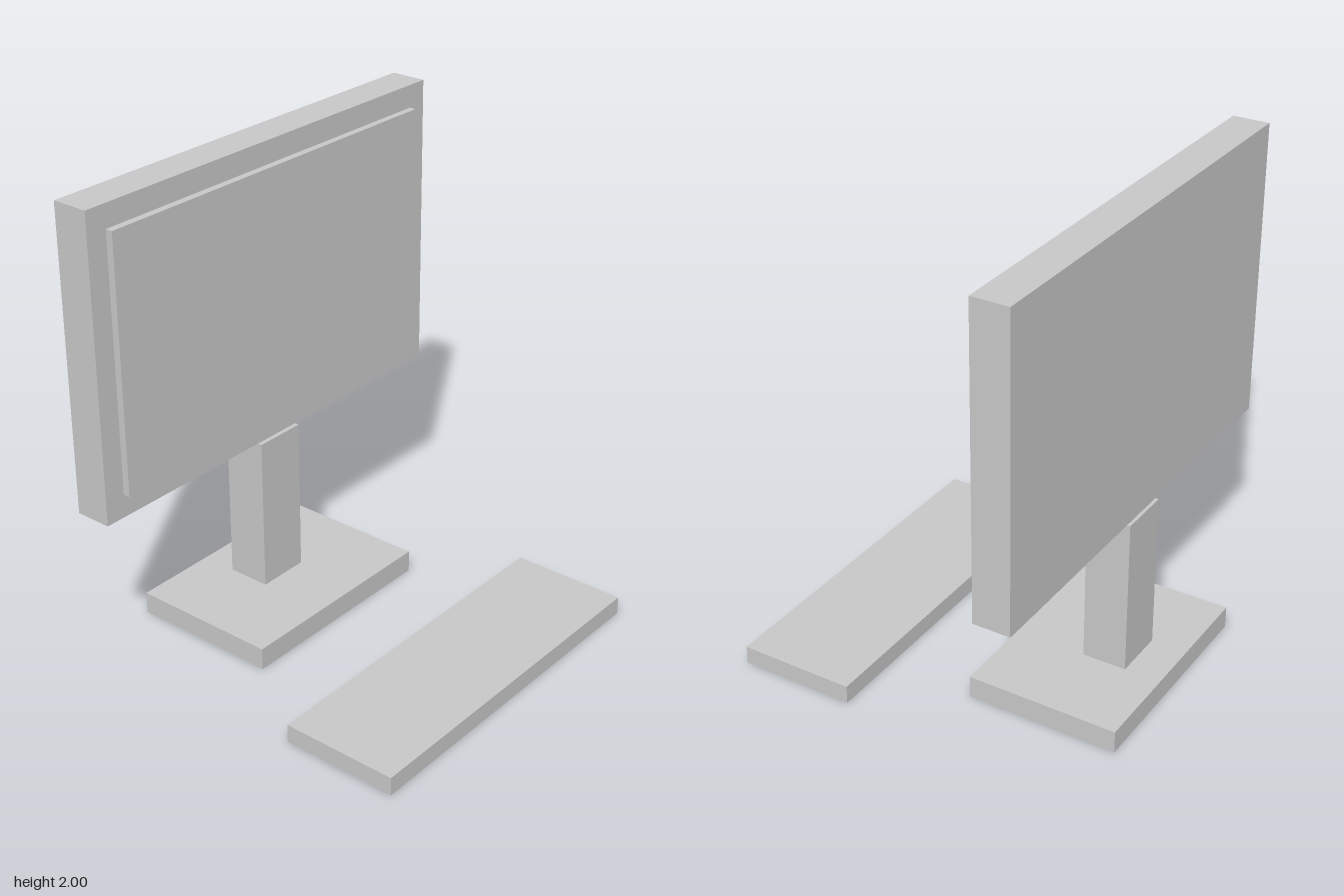
import * as THREE from 'three';

export function createModel() {
  const model = new THREE.Group();
  model.name = 'desktopMonitor';
  const grey = new THREE.MeshStandardMaterial({ color: 0xc8c8c8 });
  grey.name = 'light grey';

  // Box centred on x = 0, given its width and its y and z extents
  const addBox = (name, width, y0, y1, z0, z1) => {
    const mesh = new THREE.Mesh(new THREE.BoxGeometry(width, y1 - y0, z1 - z0), grey);
    mesh.position.set(0, (y0 + y1) / 2, (z0 + z1) / 2);
    mesh.name = name;
    model.add(mesh);
  };

  // Display
  addBox('displayHousing', 1.88, 0.755, 2, -0.59, -0.437);
  addBox('screen', 1.7, 0.85, 1.905, -0.437, -0.407);

  // Stand
  addBox('standColumn', 0.226, 0.094, 0.755, -0.604, -0.418);
  addBox('standBase', 0.94, 0, 0.094, -0.757, -0.116);

  // Keyboard slab in front
  addBox('keyboard', 1.51, 0, 0.077, 0.266, 0.757);

  return model;
}
